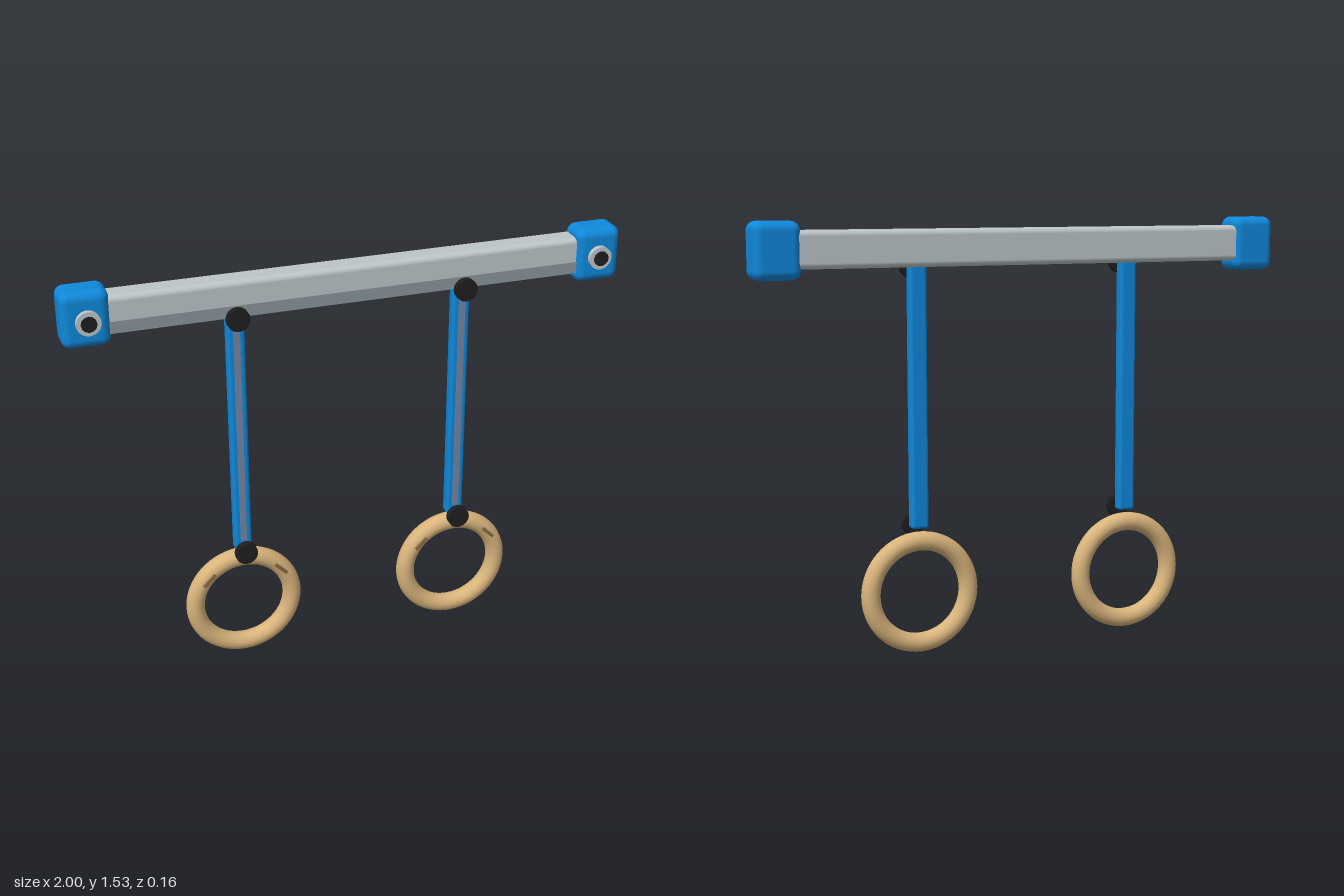
import * as THREE from 'three';
import { RoundedBoxGeometry } from 'three/addons/geometries/RoundedBoxGeometry.js';

const mat = (name, color) => {
  const m = new THREE.MeshStandardMaterial({ color });
  m.name = name;
  return m;
};

export function createModel() {
  const group = new THREE.Group();
  const blue = mat('blue plastic', 0x0f88da);
  const silver = mat('silver metal', 0xbcc5c9);
  const darkGrey = mat('grey rail', 0x88949a);
  const slate = mat('slate stripe', 0x7286a3);
  const black = mat('black rubber', 0x1e1e1e);
  const wood = mat('wood', 0xd9b47c);
  const brown = mat('brown mark', 0x8a6c44);

  const add = (name, geo, material, x, y, z, parent = group) => {
    const m = new THREE.Mesh(geo, material);
    m.name = name;
    m.position.set(x, y, z);
    parent.add(m);
    return m;
  };
  // disc whose axis points to the front
  const disc = (r, depth, sides) => new THREE.CylinderGeometry(r, r, depth, sides).rotateX(Math.PI / 2);

  // crossbar with a grey rail along its lower front edge
  add('crossbar', new RoundedBoxGeometry(1.72, 0.13, 0.094, 4, 0.02), silver, 0, 1.435, -0.02);
  add('lowerRail', new THREE.BoxGeometry(1.7, 0.042, 0.012), darkGrey, 0, 1.392, 0.024);

  for (const s of [-1, 1]) {
    // end blocks with bolts
    const side = s > 0 ? 'left' : 'right';
    add(side + 'EndBlock', new RoundedBoxGeometry(0.166, 0.197, 0.122, 5, 0.032), blue, s * 0.917, 1.433, -0.016);
    add(side + 'BoltShaft', disc(0.025, 0.02, 16), black, s * 0.912, 1.433, 0.047);
    add(side + 'Washer', disc(0.042, 0.018, 24), silver, s * 0.912, 1.433, 0.062);
    add(side + 'BoltHead', disc(0.027, 0.008, 12), black, s * 0.912, 1.433, 0.074);

    // hanging assembly
    const hanger = new THREE.Group();
    hanger.name = side + 'Hanger';
    hanger.position.set(s * 0.41, 0, 0);
    group.add(hanger);

    add('strap', new RoundedBoxGeometry(0.064, 0.94, 0.045, 3, 0.012), blue, 0, 0.92, -0.01, hanger);
    add('strapStripe', new THREE.BoxGeometry(0.022, 0.86, 0.009), slate, 0, 0.92, 0.016, hanger);
    for (const y of [0.455, 1.37]) add('connectorDisc', disc(0.041, 0.024, 16), black, 0, y, 0.045, hanger);

    // ring with two small tangent marks
    add('ring', new THREE.TorusGeometry(0.184, 0.034, 20, 64), wood, 0, 0.221, -0.016, hanger);
    for (const k of [-1, 1]) {
      const mark = add('ringMark', new THREE.BoxGeometry(0.06, 0.012, 0.008), brown, k * 0.135, 0.347, 0.024, hanger);
      mark.rotation.z = -k * Math.PI / 4;
    }
  }
  return group;
}
